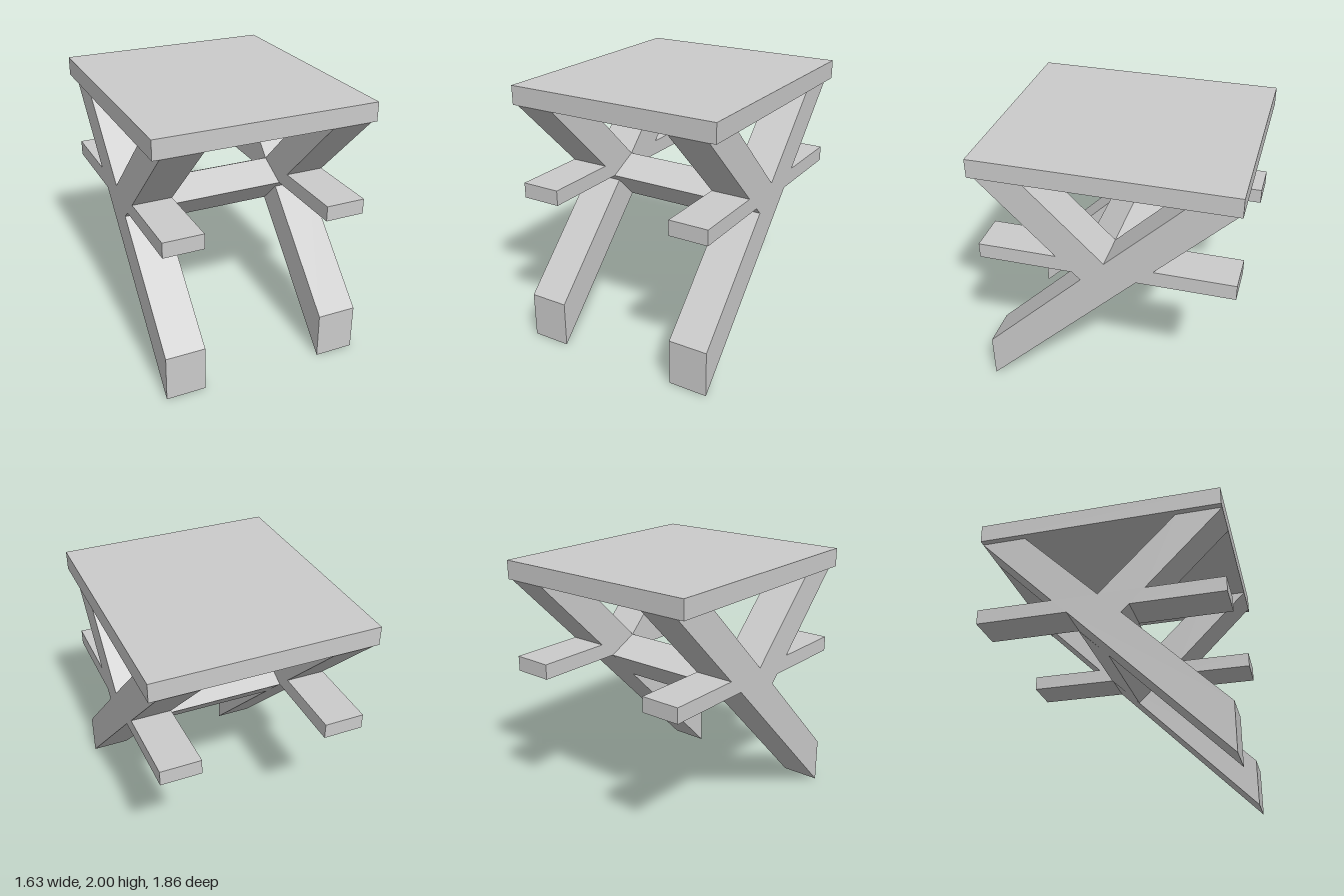
import * as THREE from 'three';

const material = new THREE.MeshStandardMaterial({ color: 0xcccccc, flatShading: true });

// Extrudes a side profile of [z, y] points along x, centred on x = 0.
function extrudeProfile(name, points, width) {
  const shape = new THREE.Shape(points.map(([z, y]) => new THREE.Vector2(z, y)));
  const geometry = new THREE.ExtrudeGeometry(shape, { depth: width, bevelEnabled: false });
  geometry.rotateY(-Math.PI / 2).translate(width / 2, 0, 0);
  const mesh = new THREE.Mesh(geometry, material);
  mesh.name = name;
  return mesh;
}

export function createModel() {
  const model = new THREE.Group();
  model.name = 'table';

  // Flat top
  const top = new THREE.Mesh(new THREE.BoxGeometry(1.63, 0.14, 1.86), material);
  top.name = 'tableTop';
  top.position.y = 1.93;
  model.add(top);

  // Side frame: long slanted leg, two upper braces and a horizontal arm
  const frame = [
    [0.93, 0], [0.93, 0.35], [0.175, 1.107], [0.235, 1.165],
    [0.93, 1.165], [0.93, 1.28], [0.35, 1.28], [0.93, 1.86],
    [0.585, 1.86], [0, 1.28], [-0.585, 1.86], [-0.93, 1.86],
    [-0.35, 1.28], [-0.93, 1.28], [-0.93, 1.165], [-0.23, 1.165],
  ];
  for (const side of [1, -1]) {
    const mesh = extrudeProfile(side > 0 ? 'leftFrame' : 'rightFrame', frame, 0.3);
    mesh.position.x = side * 0.617;
    model.add(mesh);
  }

  // Kite-shaped beam joining the frames where the braces cross
  const beam = [[0, 0.935], [0.235, 1.165], [0, 1.28], [-0.235, 1.165]];
  model.add(extrudeProfile('crossBeam', beam, 0.94));

  return model;
}
